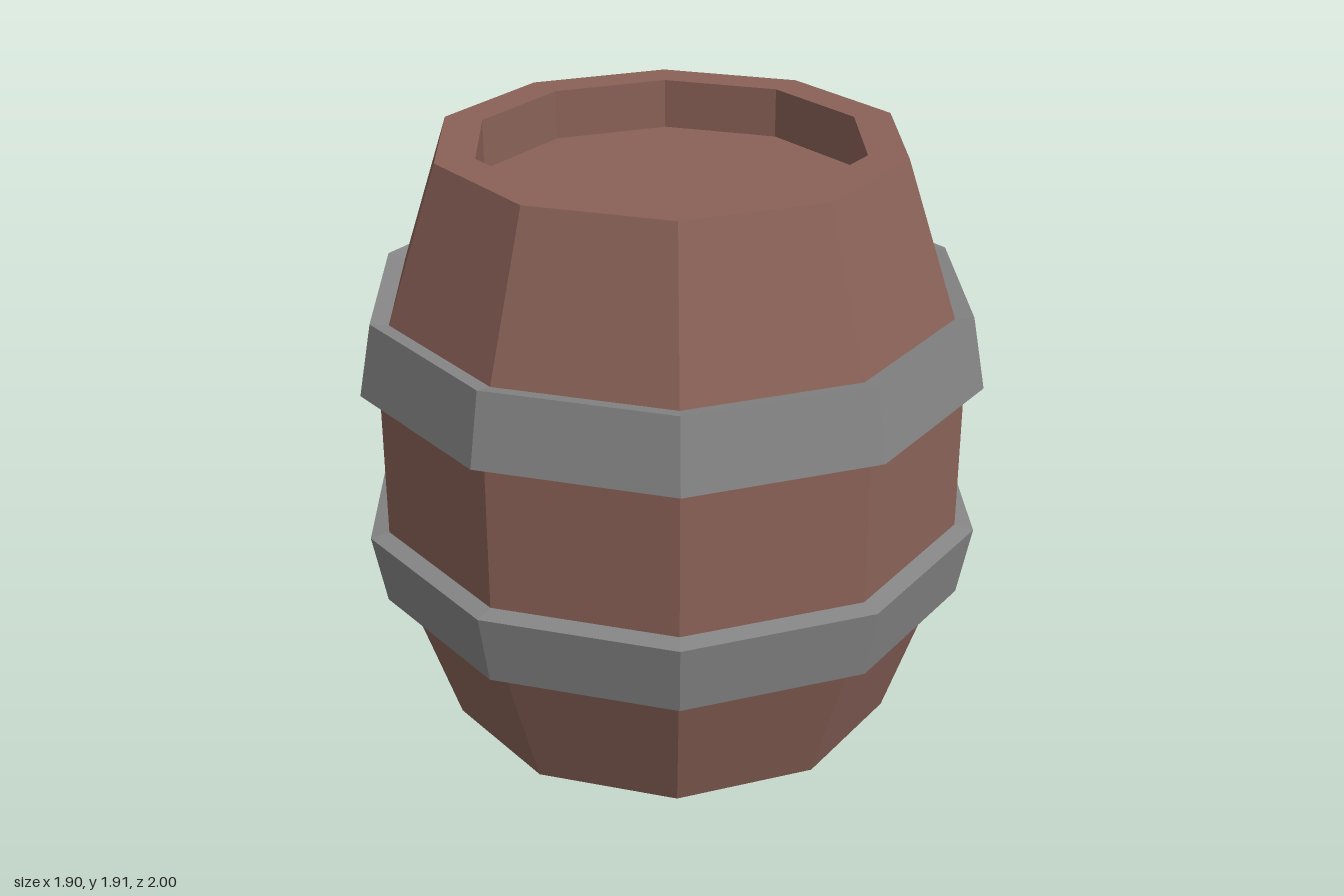
import * as THREE from 'three';

const SIDES = 10;
const HEIGHT = 1.91;
const wood = new THREE.MeshStandardMaterial({ color: 0x8a6258, flatShading: true });
const iron = new THREE.MeshStandardMaterial({ color: 0x858585, flatShading: true });

// Ten-sided turned part from [radius, height] pairs
function turned(name, profile, material) {
  const points = profile.map(([r, y]) => new THREE.Vector2(r, y));
  const mesh = new THREE.Mesh(new THREE.LatheGeometry(points, SIDES), material);
  mesh.name = name;
  return mesh;
}

export function createModel() {
  const group = new THREE.Group();
  group.name = 'barrel';

  // Bulging body with a closed base and a recessed lid
  group.add(turned('body', [
    [0, 0], [0.735, 0], [0.94, 0.615], [0.94, HEIGHT - 0.615],
    [0.735, HEIGHT], [0.61, HEIGHT], [0.61, HEIGHT - 0.16], [0, HEIGHT - 0.16],
  ], wood));

  // Tilted hoops, the lower one mirrored about the middle
  const hoop = [[0.935, 1.187], [1, 1.2], [0.957, 1.43], [0.895, 1.418], [0.935, 1.187]];
  const mirrored = hoop.map(([r, y]) => [r, 1.905 - y]).reverse();
  group.add(turned('upperHoop', hoop, iron));
  group.add(turned('lowerHoop', mirrored, iron));

  return group;
}
